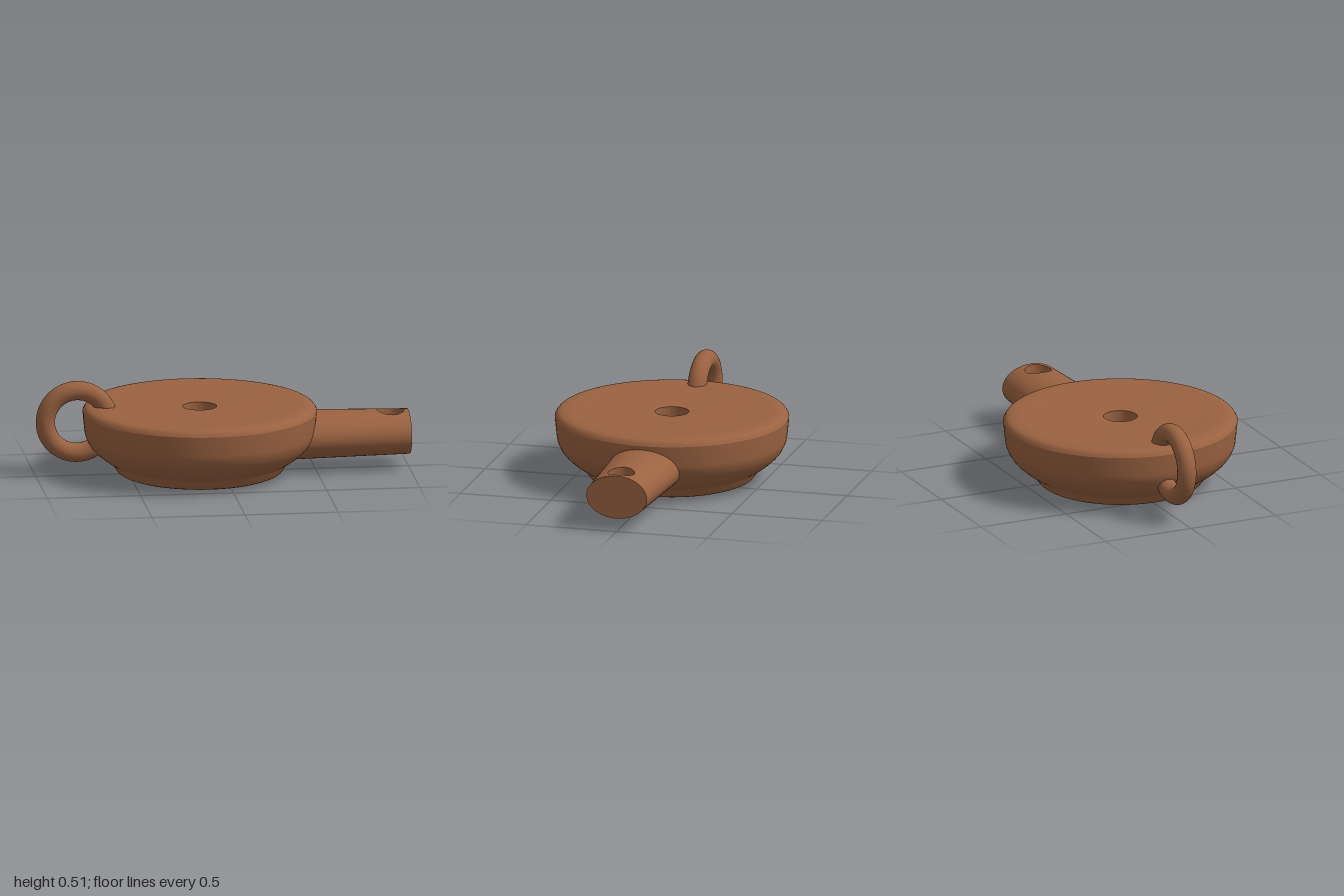
import * as THREE from 'three';
import { mergeGeometries, mergeVertices } from 'three/addons/utils/BufferGeometryUtils.js';

const clay = new THREE.MeshStandardMaterial({ color: 0x9a6241 });
clay.name = 'terracotta';

const BODY_X = -0.12;
const AXIS_Y = 0.19;              // height of the spout axis
const WICK = { x: 0.905, r: 0.072, half: 0.095 };
const STEP = Math.PI * 2 / 48;
const PATCH = 4 * STEP;           // half angle of the patch around the wick hole

// Smooth grid surface; faces point along u cross v
function grid(nu, nv, fn) {
  const pos = [], index = [];
  for (let j = 0; j <= nv; j++) {
    for (let i = 0; i <= nu; i++) pos.push(...fn(i / nu, j / nv));
  }
  for (let j = 0; j < nv; j++) {
    for (let i = 0; i < nu; i++) {
      const a = j * (nu + 1) + i, d = a + nu + 1;
      index.push(a, a + 1, d + 1, a, d + 1, d);
    }
  }
  const g = new THREE.BufferGeometry();
  g.setAttribute('position', new THREE.Float32BufferAttribute(pos, 3));
  g.setIndex(index);
  return g;
}

function weld(parts) {
  const g = mergeVertices(mergeGeometries(parts), 1e-4);
  g.computeVertexNormals();
  return g;
}

function add(parent, name, geometry) {
  const mesh = new THREE.Mesh(geometry, clay);
  mesh.name = name;
  parent.add(mesh);
  return mesh;
}

// Turned section; each section is smooth, with sharp edges between sections
function turned(points, samples = 0) {
  let pts = points.map(([r, y]) => new THREE.Vector2(r, y));
  if (samples) pts = new THREE.SplineCurve(pts).getPoints(samples);
  return new THREE.LatheGeometry(pts, 72);
}

// Tapered oval spout surface
const halfWidth = x => 0.193 - 0.052 * (x - 0.5);
const halfHeight = x => 0.1265 - 0.017 * (x - 0.5);
const spoutPoint = (x, t) =>
  [x, AXIS_Y + halfHeight(x) * Math.cos(t), halfWidth(x) * Math.sin(t)];

// Walk around a square, u from 0 to 1
function square(u) {
  const s = (u % 1) * 4, side = Math.floor(s), f = (s - side) * 2 - 1;
  return [[1, f], [-f, 1], [-1, -f], [f, -1]][side];
}

// Rim of the wick hole as [x, angle]
function wickRim(u) {
  const [a, b] = square(u), len = Math.hypot(a, b);
  const x = WICK.x + WICK.r * a / len;
  return [x, Math.asin(WICK.r * b / len / halfWidth(x))];
}

export function createModel() {
  const lamp = new THREE.Group();
  lamp.name = 'oilLamp';

  // Round reservoir with a foot, a rim and a slightly dished top
  const body = new THREE.Group();
  body.name = 'body';
  body.position.x = BODY_X;
  lamp.add(body);
  add(body, 'base', turned([[0, 0], [0.41, 0]]));
  add(body, 'foot', turned([[0.41, 0], [0.435, 0.01], [0.45, 0.027], [0.472, 0.06]], 10));
  add(body, 'bowl', turned([[0.472, 0.06], [0.53, 0.1], [0.58, 0.148], [0.608, 0.2],
    [0.617, 0.25], [0.625, 0.337]], 24));
  add(body, 'rim', turned([[0.625, 0.337], [0.612, 0.357], [0.59, 0.369], [0.54, 0.375],
    [0.42, 0.37], [0.25, 0.364], [0.09, 0.36]], 30));
  add(body, 'fillingHoleWall', turned([[0.09, 0.36], [0.09, 0.19]]));
  add(body, 'fillingHoleFloor', turned([[0.09, 0.19], [0, 0.19]]));

  // Spout, with a wick hole cut into its upper side
  const spout = new THREE.Group();
  spout.name = 'spout';
  lamp.add(spout);
  const x0 = 0.2, x1 = WICK.x - WICK.half, x2 = WICK.x + WICK.half;
  const lerp = THREE.MathUtils.lerp;
  add(spout, 'spoutTube', weld([
    grid(48, 8, (u, v) => spoutPoint(lerp(x0, x1, v), u * Math.PI * 2)),
    grid(40, 8, (u, v) => spoutPoint(lerp(x1, x2, v), lerp(PATCH, Math.PI * 2 - PATCH, u))),
    grid(32, 4, (u, v) => {
      const [a, b] = square(u), [x, t] = wickRim(u);
      return spoutPoint(lerp(x, WICK.x + WICK.half * a, v), lerp(t, PATCH * b, v));
    }),
  ]));
  add(spout, 'wickHoleWall', weld([grid(32, 1, (u, v) => {
    const [x, y, z] = spoutPoint(...wickRim(u));
    return [x, lerp(AXIS_Y, y, v), z];
  })]));
  const floor = add(spout, 'wickHoleFloor', new THREE.CircleGeometry(WICK.r, 32));
  floor.rotation.x = -Math.PI / 2;
  floor.position.set(WICK.x, AXIS_Y, 0);
  const cap = new THREE.CircleGeometry(1, 48);
  cap.scale(halfWidth(x2), halfHeight(x2), 1);
  cap.rotateY(Math.PI / 2);
  add(spout, 'spoutEnd', cap).position.set(x2, AXIS_Y, 0);

  // Ring handle set into the side opposite the spout
  add(lamp, 'ringHandle', new THREE.TorusGeometry(0.169, 0.051, 24, 64))
    .position.set(-0.78, 0.295, 0);

  return lamp;
}
